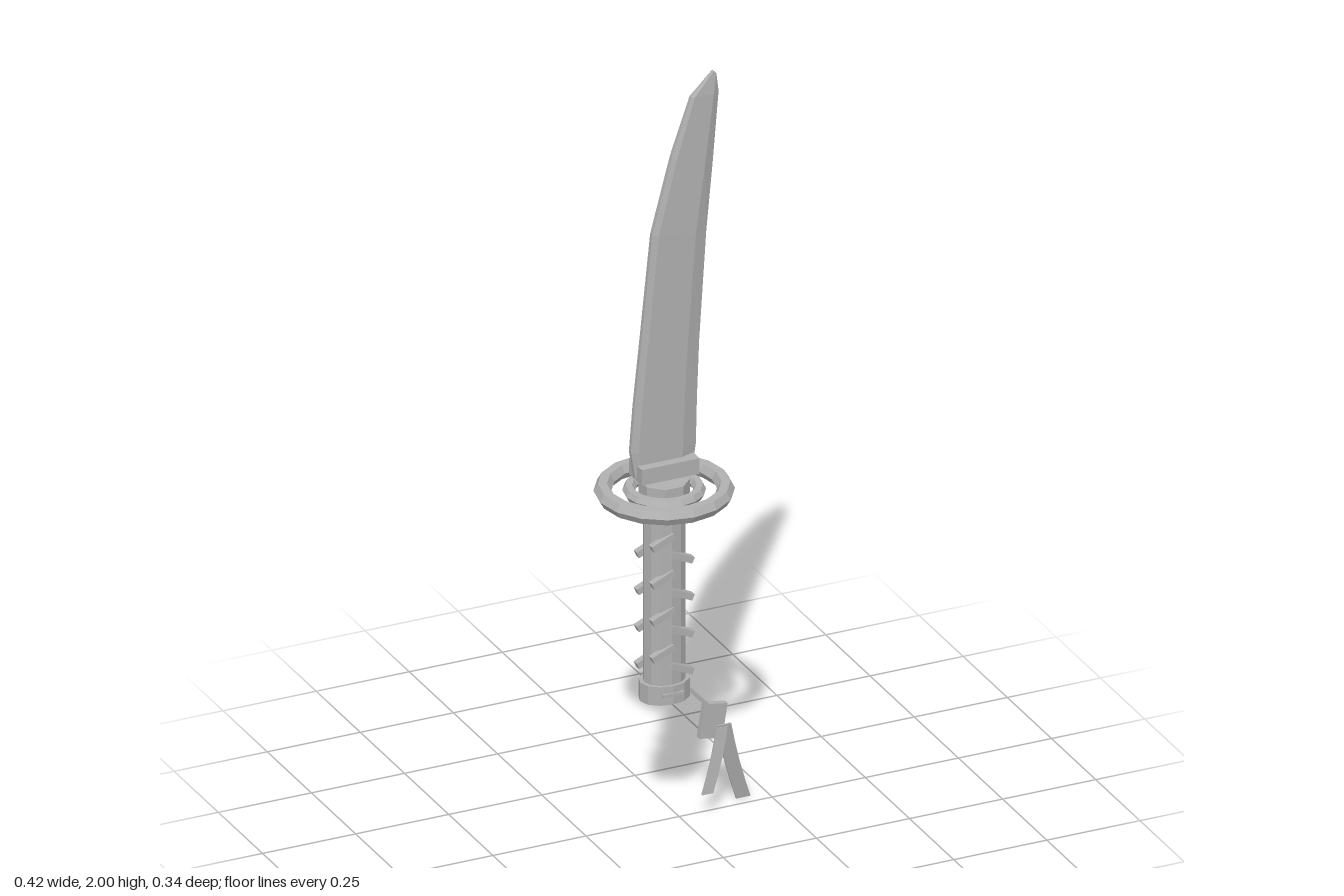
import * as THREE from 'three';

export function createModel() {
  const root = new THREE.Group();
  const steel = new THREE.MeshStandardMaterial({ color: 0xb0b0b0, flatShading: true });
  const axis = -0.04; // x of the handle axis

  const add = (name, geometry, x = 0, y = 0, z = 0, parent = root) => {
    const mesh = new THREE.Mesh(geometry, steel);
    mesh.name = name;
    mesh.position.set(x, y, z);
    parent.add(mesh);
    return mesh;
  };

  // Closed loft through rings of [x, y, z] points
  const loft = (rings) => {
    const n = rings[0].length, index = [];
    for (let r = 0; r < rings.length - 1; r++) {
      for (let i = 0; i < n; i++) {
        const a = r * n + i, b = r * n + (i + 1) % n;
        index.push(a, b, a + n, b, b + n, a + n);
      }
    }
    const top = (rings.length - 1) * n;
    for (let i = 1; i < n - 1; i++) {
      index.push(0, i + 1, i, top, top + i, top + i + 1);
    }
    const g = new THREE.BufferGeometry();
    g.setAttribute('position', new THREE.Float32BufferAttribute(rings.flat(2), 3));
    g.setIndex(index);
    g.computeVertexNormals();
    return g;
  };

  // Blade stations: spine x, spine y, edge x, edge y
  const stations = [
    [-0.12, 0.94, 0.035, 0.94],
    [-0.132, 1.015, 0.045, 1.0],
    [-0.122, 1.14, 0.048, 1.13],
    [-0.106, 1.29, 0.054, 1.28],
    [-0.075, 1.59, 0.073, 1.57],
    [-0.022, 1.79, 0.09, 1.75],
    [0.03, 1.94, 0.106, 1.94],
    [0.09, 2.0, 0.1, 1.99],
  ];
  const bladeRings = stations.map(([lx, ly, rx, ry]) => {
    const w = rx - lx;
    const at = (t, z) => [lx + w * t, ly + (ry - ly) * t, z];
    const k = Math.min(1, 0.3 + w * 6);
    const half = [[0, 0.006], [0.1, 0.013], [0.77, 0.013]];
    return [
      ...half.map(([t, z]) => at(t, z * k)),
      at(1, 0),
      ...half.reverse().map(([t, z]) => at(t, -z * k)),
    ];
  });
  add('blade', loft(bladeRings));

  // Slim raised rib on the back of the blade
  const rib = [[-0.075, 1.0], [-0.07, 1.2], [-0.052, 1.4], [-0.025, 1.6], [0.02, 1.8], [0.068, 1.94]];
  add('bladeRib', loft(rib.map(([x, y], i) => {
    const w = i === rib.length - 1 ? 0.004 : 0.008;
    return [[x - w, y, -0.01], [x + w, y, -0.01], [x + w, y, -0.021], [x - w, y, -0.021]];
  })));

  // Blade collar and the disc under it
  add('bladeCollar', new THREE.BoxGeometry(0.155, 0.042, 0.074), axis, 0.957, 0);
  const disc = new THREE.CylinderGeometry(0.063, 0.063, 0.06, 8);
  disc.rotateY(Math.PI / 8);
  add('guardDisc', disc, axis, 0.892, 0);

  // Guard made of two concentric rings
  for (const [name, radius, tube] of [['outerGuardRing', 0.15, 0.022], ['innerGuardRing', 0.086, 0.016]]) {
    const ring = new THREE.TorusGeometry(radius, tube, 6, 16);
    ring.rotateX(Math.PI / 2);
    add(name, ring, axis, 0.894, 0);
  }

  // Handle, upper ferrule and pommel share an oval section
  const oval = (name, rx, rz, y0, y1) => {
    const g = new THREE.CylinderGeometry(1, 1, y1 - y0, 12);
    g.scale(rx, 1, rz);
    add(name, g, axis, (y0 + y1) / 2, 0);
  };
  oval('ferrule', 0.063, 0.052, 0.837, 0.877);
  oval('handle', 0.054, 0.045, 0.38, 0.84);
  oval('pommel', 0.065, 0.052, 0.335, 0.385);
  add('pommelPin', new THREE.BoxGeometry(0.055, 0.008, 0.108), axis, 0.362, 0);

  // Slanted wrap bars, repeated on the back by a half turn
  for (const side of [0, 1]) {
    const wrap = new THREE.Group();
    wrap.name = side ? 'backWrap' : 'frontWrap';
    wrap.position.x = axis;
    wrap.rotation.y = side * Math.PI;
    for (let i = 0; i < 4; i++) {
      const y = 0.775 - i * 0.1;
      add('wrapBar', new THREE.BoxGeometry(0.064, 0.017, 0.018), -0.024, y, 0.041, wrap).rotation.z = 0.42;
      add('wrapBar', new THREE.BoxGeometry(0.064, 0.017, 0.018), 0.026, y - 0.05, 0.041, wrap).rotation.z = -0.42;
    }
    root.add(wrap);
  }

  // Cord from the pommel to the knot
  const cord = add('cord', new THREE.BoxGeometry(0.1, 0.01, 0.008), 0.05, 0.315, -0.003);
  cord.rotation.z = -0.83;

  // Knot with a small band on its back
  const knot = add('knot', new THREE.BoxGeometry(0.062, 0.092, 0.016), 0.094, 0.238, -0.011);
  knot.rotation.z = -0.16;
  add('knotBand', new THREE.BoxGeometry(0.036, 0.05, 0.008), 0, 0, -0.011, knot);

  // Two hanging cloth strips, slightly curved
  const strip = (name, w, from, to, bow) => {
    const g = new THREE.BoxGeometry(w, 1, 0.005, 1, 4, 1);
    const p = g.attributes.position;
    for (let i = 0; i < p.count; i++) {
      const t = 0.5 - p.getY(i), b = bow * Math.sin(Math.PI * t);
      p.setXYZ(i,
        p.getX(i) + from[0] + (to[0] - from[0]) * t + b,
        from[1] + (to[1] - from[1]) * t,
        p.getZ(i) + from[2] + (to[2] - from[2]) * t);
    }
    g.computeVertexNormals();
    add(name, g);
  };
  strip('shortStrip', 0.03, [0.115, 0.22, 0], [0.066, 0.057, 0.02], 0.004);
  strip('longStrip', 0.038, [0.12, 0.225, 0], [0.187, 0.001, -0.032], -0.004);

  return root;
}
